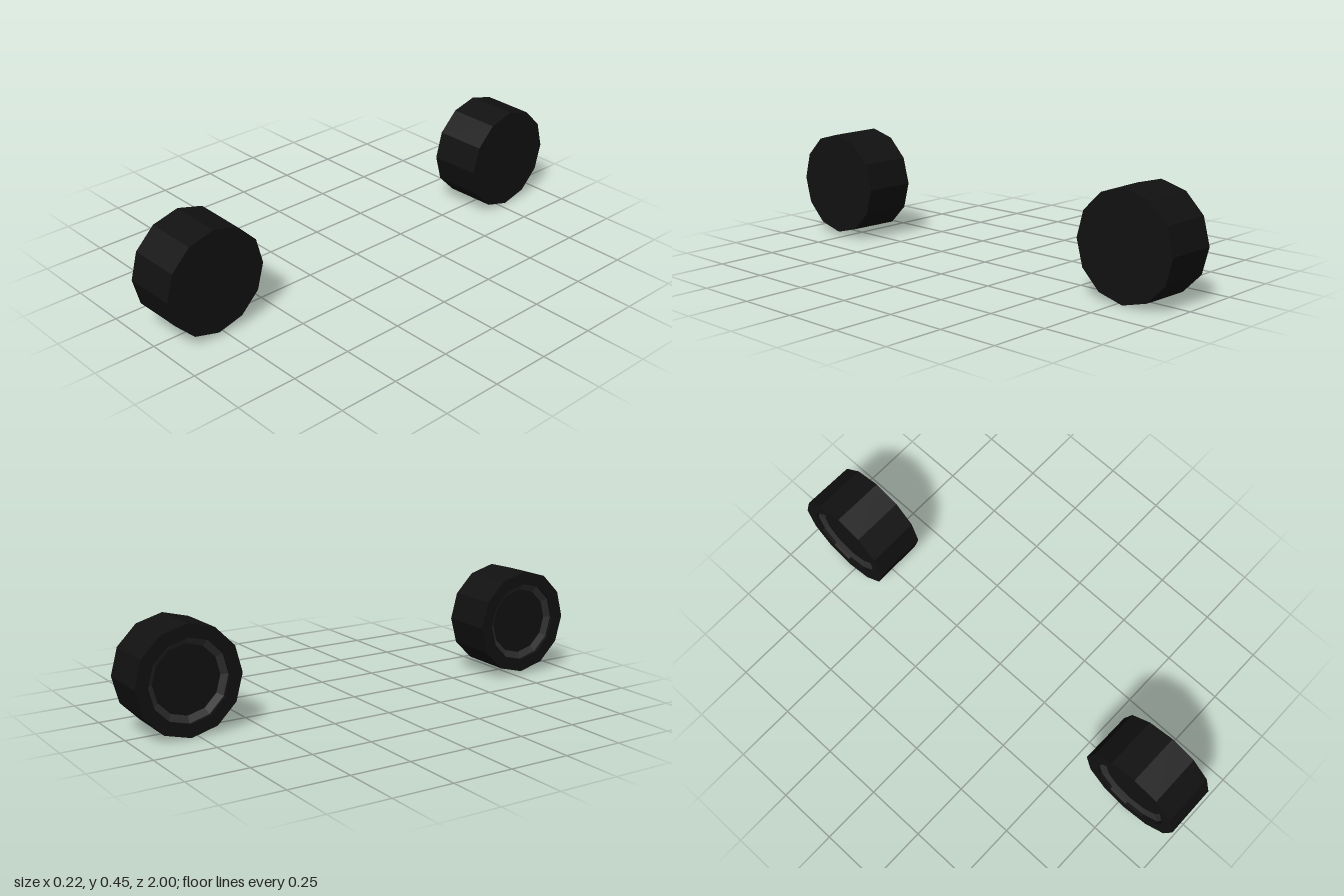
import * as THREE from 'three';

const SIDES = 12;

// Turns a [radius, height] profile into a faceted mesh whose height runs towards -x
function turned(name, profile, material) {
  const points = profile.map(([r, h]) => new THREE.Vector2(r, h));
  const mesh = new THREE.Mesh(new THREE.LatheGeometry(points, SIDES), material);
  mesh.name = name;
  mesh.rotation.z = Math.PI / 2;
  return mesh;
}

function createWheel(name, x, y, z) {
  const rubber = new THREE.MeshStandardMaterial({ color: 0x111111, flatShading: true });
  const metal = new THREE.MeshStandardMaterial({ color: 0x2c2c2c, flatShading: true });
  const wheel = new THREE.Group();
  wheel.name = name;
  wheel.add(
    // Slightly tapered tyre: closed on +x, recessed on -x
    turned('tyre', [[0, -0.109], [0.2155, -0.109], [0.218, 0.109], [0.165, 0.109], [0.165, 0.096]], rubber),
    // Sloping rim inside the recess
    turned('rim', [[0.165, 0.096], [0.138, 0.083]], metal),
    // Flat hub closing the recess
    turned('hub', [[0.138, 0.083], [0, 0.083]], rubber)
  );
  wheel.position.set(x, y, z);
  return wheel;
}

export function createModel() {
  const model = new THREE.Group();
  model.name = 'wheelPair';
  model.add(
    createWheel('frontWheel', -0.002, 0.233, 0.782),
    createWheel('backWheel', 0.002, 0.218, -0.782)
  );
  // Back wheel rides a touch lower than the front one
  model.children[1].position.y = 0.22;
  return model;
}
